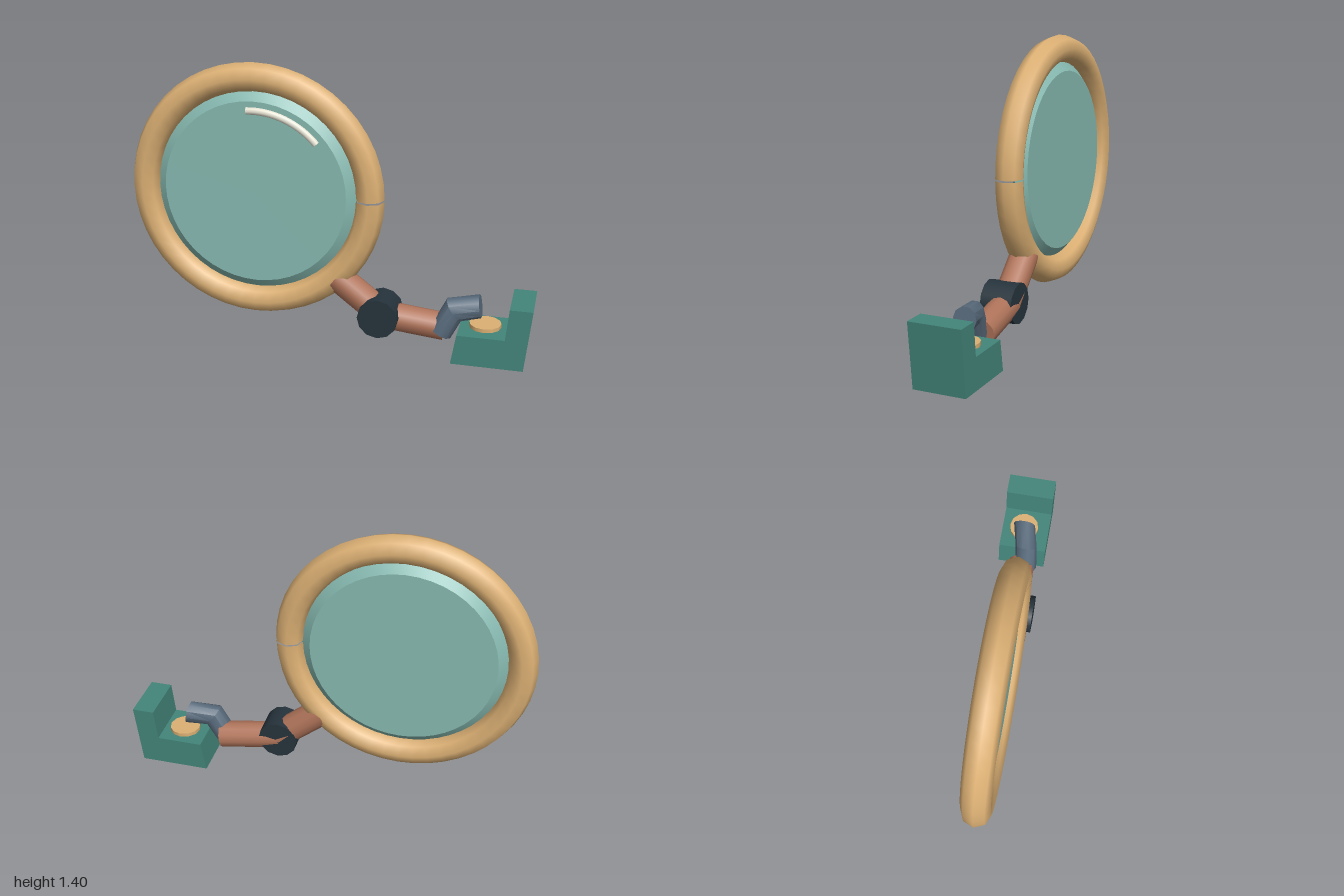
import * as THREE from 'three';
import { toCreasedNormals } from 'three/addons/utils/BufferGeometryUtils.js';

const V = (x, y, z) => new THREE.Vector3(x, y, z);

export function createModel() {
  const model = new THREE.Group();
  const material = (name, color) => {
    const m = new THREE.MeshStandardMaterial({ color });
    m.name = name;
    return m;
  };
  const wood = material('tan', 0xdcb074);
  const glass = material('pale teal', 0x86b9b0);
  const shine = material('cream', 0xe6e3d3);
  const leather = material('brown', 0xb0745a);
  const dark = material('navy', 0x26333c);
  const slate = material('slate blue', 0x596b7c);
  const teal = material('deep teal', 0x43857a);

  const add = (name, geometry, mat, x = 0, y = 0, z = 0) => {
    const mesh = new THREE.Mesh(geometry, mat);
    mesh.name = name;
    mesh.position.set(x, y, z);
    model.add(mesh);
    return mesh;
  };
  // Straight cylinder between two points
  const rod = (name, a, b, radius, mat) => {
    const dir = b.clone().sub(a);
    const mesh = add(name, new THREE.CylinderGeometry(radius, radius, dir.length(), 12), mat);
    mesh.position.copy(a).lerp(b, 0.5);
    mesh.quaternion.setFromUnitVectors(V(0, 1, 0), dir.normalize());
    return mesh;
  };

  // Round frame with a fine split on its left side
  const cx = -0.365, cy = 0.77, cz = 0.04;
  const gap = 0.014;
  const ring = add('frameRing', new THREE.TorusGeometry(0.565, 0.07, 8, 48, Math.PI * 2 - gap), wood, cx, cy, cz);
  ring.rotation.z = gap / 2;

  // Lens with bevelled rim
  const lensProfile = [[0, -0.042], [0.455, -0.042], [0.505, 0], [0.455, 0.035], [0, 0.035]]
    .map(([r, h]) => new THREE.Vector2(r, h));
  const lens = new THREE.LatheGeometry(lensProfile, 48).rotateX(Math.PI / 2);
  add('lens', toCreasedNormals(lens, 0.5), glass, cx, cy, cz);

  // Curved glint on the glass
  const glint = add('lensGlint', new THREE.TorusGeometry(0.41, 0.018, 8, 16, 0.93), shine, cx, cy, 0.08);
  glint.rotation.z = 0.71;

  // Two arm sections joined by a round hinge
  rod('upperArm', V(0.035, 0.365, 0.04), V(0.26, 0.185, 0.03), 0.071, leather);
  rod('lowerArm', V(0.26, 0.18, 0.028), V(0.572, 0.138, 0.008), 0.069, leather);
  add('elbowHinge', new THREE.CylinderGeometry(0.1, 0.1, 0.16, 12).rotateX(Math.PI / 2), dark, 0.257, 0.19, 0.042);

  // Bent finger: a cylinder whose three rings follow a mitred path
  const path = [V(0.558, 0.122, 0.035), V(0.618, 0.24, 0.025), V(0.742, 0.258, -0.005)];
  const directions = [path[1].clone().sub(path[0]).setZ(0).normalize(), path[2].clone().sub(path[1]).setZ(0).normalize()];
  const mitre = directions[0].clone().add(directions[1]).normalize();
  const tangents = [directions[0], mitre, directions[1]];
  const stretch = [1, 1 / mitre.dot(directions[0]), 1];
  const finger = new THREE.CylinderGeometry(0.058, 0.058, 2, 10, 2);
  const p = finger.attributes.position;
  for (let i = 0; i < p.count; i++) {
    const k = Math.round(p.getY(i)) + 1;
    const across = p.getX(i) * stretch[k];
    p.setXYZ(i, path[k].x + tangents[k].y * across, path[k].y - tangents[k].x * across, path[k].z + p.getZ(i));
  }
  add('bentFinger', toCreasedNormals(finger, 0.7), slate);

  // Stepped, leaning base block
  const profile = [[0.62, 0], [0.968, 0], [1, 0.312], [0.89, 0.312], [0.875, 0.152], [0.645, 0.152]];
  const shape = new THREE.Shape(profile.map(([x, y]) => new THREE.Vector2(x, y)));
  add('baseBlock', new THREE.ExtrudeGeometry(shape, { depth: 0.255, bevelEnabled: false }), teal, 0, 0, -0.128);

  // Push button on the step
  add('button', new THREE.CylinderGeometry(0.078, 0.078, 0.03, 12), wood, 0.768, 0.156, -0.01);

  return model;
}
